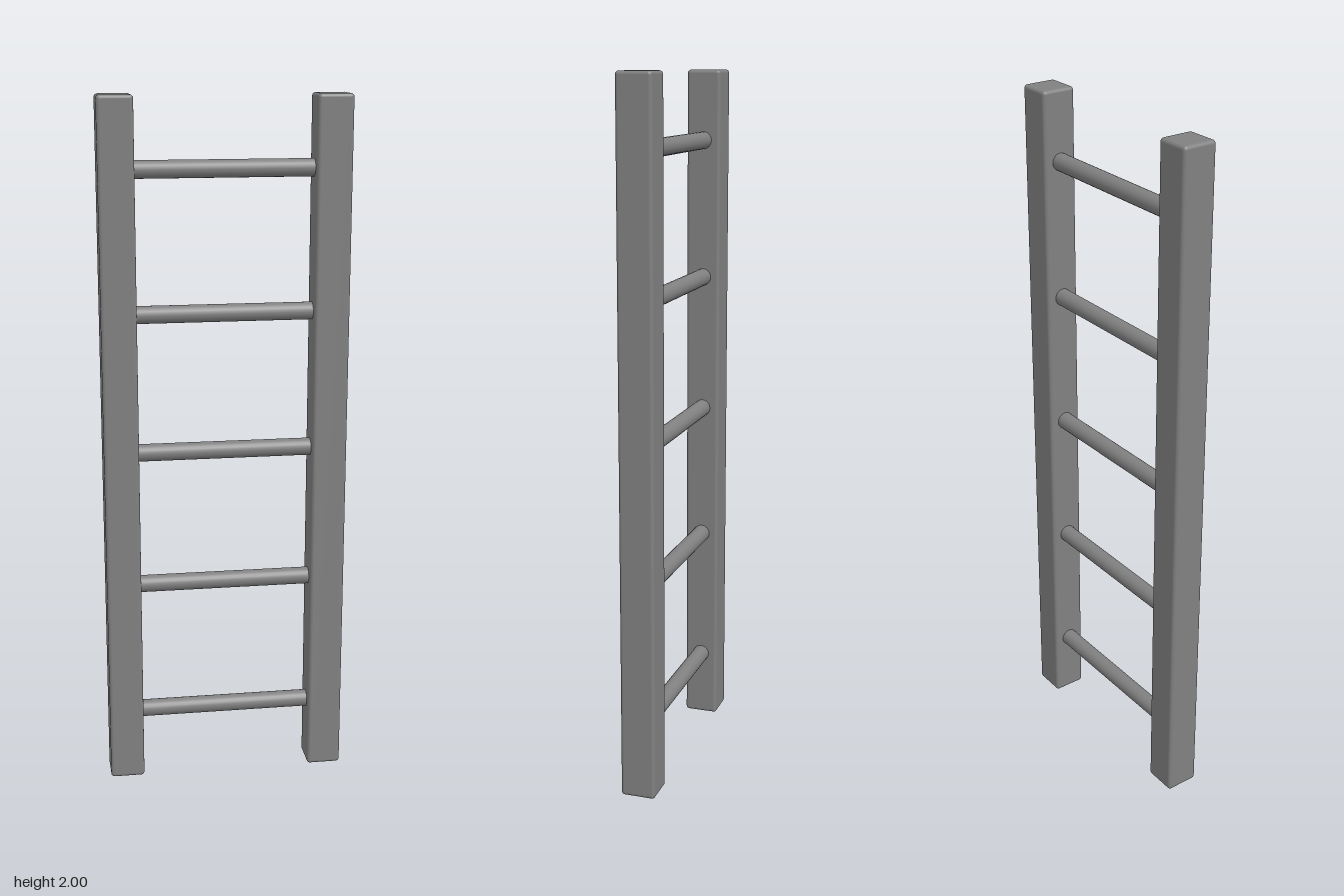
import * as THREE from 'three';
import { RoundedBoxGeometry } from 'three/addons/geometries/RoundedBoxGeometry.js';

export function createModel() {
  const ladder = new THREE.Group();
  ladder.name = 'ladder';

  const gray = new THREE.MeshStandardMaterial({ color: 0x808080 });
  gray.name = 'gray';

  // Two square side rails with softened edges
  const railGeometry = new RoundedBoxGeometry(0.1, 2, 0.1, 3, 0.01);
  for (const [side, sign] of [['left', 1], ['right', -1]]) {
    const rail = new THREE.Mesh(railGeometry, gray);
    rail.name = `${side}Rail`;
    rail.position.set(sign * 0.3, 1, 0);
    ladder.add(rail);
  }

  // Five round rungs, evenly spaced, seated slightly into the rails
  const rungGeometry = new THREE.CylinderGeometry(0.025, 0.025, 0.51, 24).rotateZ(Math.PI / 2);
  for (let i = 0; i < 5; i++) {
    const rung = new THREE.Mesh(rungGeometry, gray);
    rung.name = `rung${i + 1}`;
    rung.position.y = 0.2 + i * 0.4;
    ladder.add(rung);
  }

  return ladder;
}
